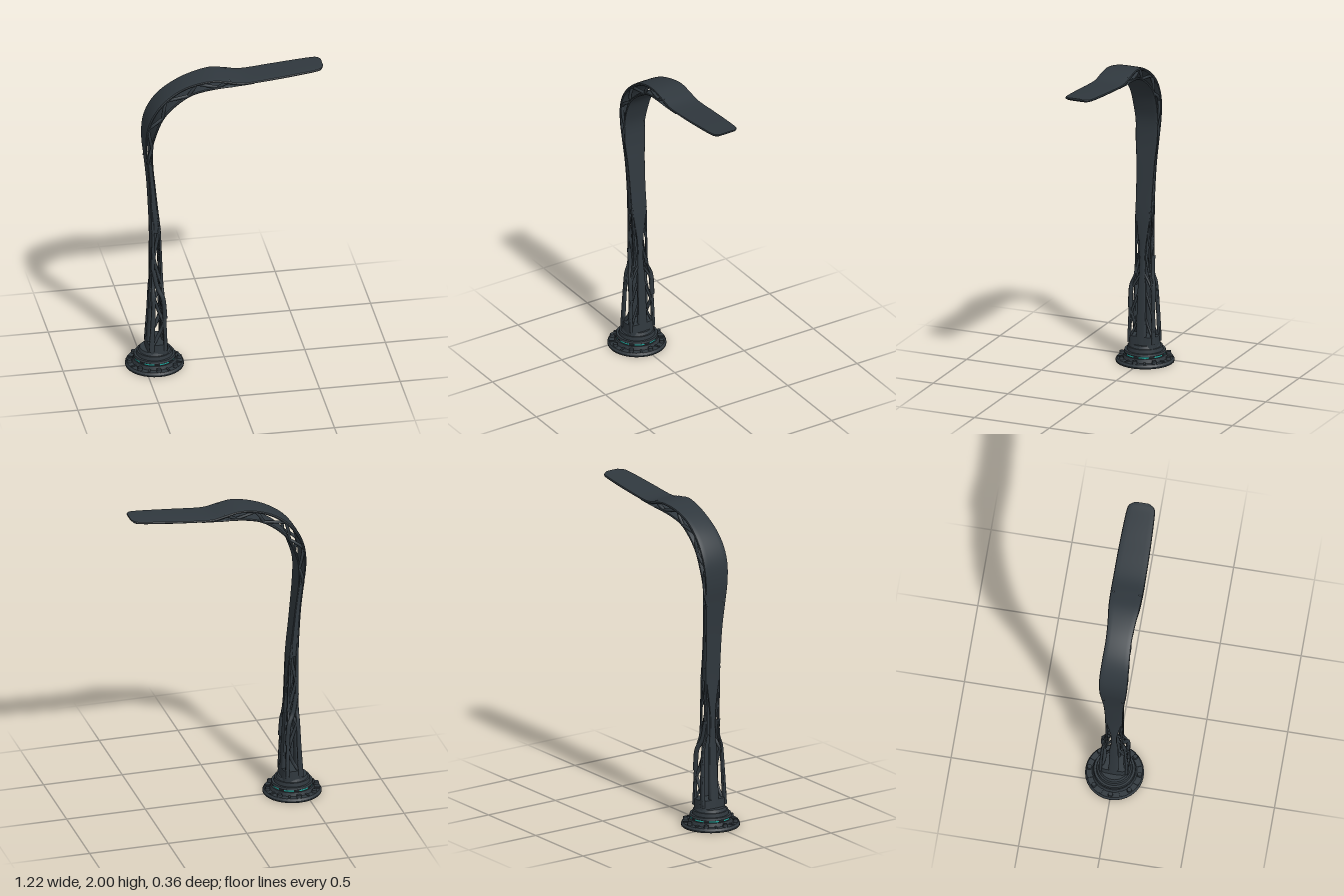
import * as THREE from 'three';
import { toCreasedNormals } from 'three/addons/utils/BufferGeometryUtils.js';

const metal = new THREE.MeshStandardMaterial({ color: 0x30383e });
metal.name = 'dark slate metal';
const black = new THREE.MeshStandardMaterial({ color: 0x1d2327 });
black.name = 'black panel';
const teal = new THREE.MeshStandardMaterial({ color: 0x1fa79c });
teal.name = 'teal light';

// Stations along the lamp: outer x, y, inner x, y, half width
const stations = [
  [-.49, .1, -.355, .1, .092], [-.483, .2, -.361, .2, .09], [-.473, .35, -.368, .35, .085],
  [-.467, .5, -.377, .5, .075], [-.465, .58, -.382, .58, .053], [-.463, .75, -.39, .75, .052],
  [-.462, .93, -.399, .93, .054], [-.468, 1.1, -.418, 1.1, .056], [-.477, 1.27, -.436, 1.27, .062],
  [-.492, 1.43, -.45, 1.4, .073], [-.504, 1.56, -.453, 1.53, .082], [-.495, 1.68, -.43, 1.63, .088],
  [-.455, 1.78, -.385, 1.735, .088], [-.385, 1.865, -.315, 1.81, .084], [-.29, 1.93, -.225, 1.87, .08],
  [-.19, 1.968, -.14, 1.9, .085], [-.08, 1.985, -.05, 1.92, .096], [.02, 1.972, .04, 1.928, .1],
  [.12, 1.955, .12, 1.936, .1], [.3, 1.97, .3, 1.95, .098], [.45, 1.985, .455, 1.964, .093],
  [.55, 1.994, .555, 1.975, .087], [.585, 1.998, .588, 1.98, .075], [.605, 2, .605, 1.99, .045],
];
const curveOf = (ix, iy) => new THREE.CatmullRomCurve3(
  stations.map((s) => new THREE.Vector3(s[ix], s[iy], s[4])), false, 'catmullrom', .5);
const outer = curveOf(0, 1);
const inner = curveOf(2, 3);
const smooth = THREE.MathUtils.smoothstep;

// Point at station t, fraction f from outer to inner side, fraction s of the half width
function at(t, f, s) {
  const u = t / (stations.length - 1);
  const p = outer.getPoint(u).lerp(inner.getPoint(u), f);
  p.z *= s;
  return p;
}

// Rounded-rectangle loft from station t0 to t1; span(t) gives [f0, f1, s0, s1]
function band(t0, t1, span) {
  const rows = Math.ceil((t1 - t0) * 5), n = 16;
  const pos = [], index = [];
  for (let j = 0; j <= rows; j++) {
    const t = t0 + (t1 - t0) * j / rows;
    const [f0, f1, s0, s1] = span(t);
    for (let k = 0; k < n; k++) {
      const a = (k / n) * Math.PI * 2;
      const c = Math.sign(Math.cos(a)) * Math.abs(Math.cos(a)) ** .5;
      const d = Math.sign(Math.sin(a)) * Math.abs(Math.sin(a)) ** .5;
      pos.push(...at(t, (f0 + f1) / 2 + c * (f1 - f0) / 2, (s0 + s1) / 2 + d * (s1 - s0) / 2));
    }
  }
  for (let j = 0; j < rows; j++) for (let k = 0; k < n; k++) {
    const a = j * n + k, b = j * n + (k + 1) % n;
    index.push(a, a + n, b, b, a + n, b + n);
  }
  const end = rows * n;
  for (let k = 1; k < n - 1; k++) index.push(0, k, k + 1, end, end + k + 1, end + k);
  const geo = new THREE.BufferGeometry();
  geo.setAttribute('position', new THREE.Float32BufferAttribute(pos, 3));
  geo.setIndex(index);
  return toCreasedNormals(geo, .7);
}

export function createModel() {
  const model = new THREE.Group();
  const add = (name, geo, mat = metal, parent = model) => {
    const mesh = new THREE.Mesh(geo, mat);
    mesh.name = name;
    parent.add(mesh);
    return mesh;
  };

  // Stepped round base: lower radius, upper radius, bottom, top
  const base = new THREE.Group();
  base.name = 'base';
  base.position.x = -.433;
  model.add(base);
  const disc = (name, r0, r1, y0, y1, mat) => {
    add(name, new THREE.CylinderGeometry(r1, r0, y1 - y0, 32), mat, base).position.y = (y0 + y1) / 2;
  };
  disc('footPlate', .18, .18, 0, .012, black);
  disc('flange', .18, .172, .012, .024);
  disc('lowerCollar', .138, .13, .024, .046);
  disc('lightGroove', .122, .122, .046, .062, black);
  disc('upperCollar', .13, .126, .062, .076);
  disc('stepRing', .112, .108, .076, .1);
  disc('neckRing', .098, .09, .1, .118);
  for (let i = 0; i < 8; i++) {
    const a = i * Math.PI / 4;
    const bolt = add('bolt', new THREE.CylinderGeometry(.015, .017, .018, 6), metal, base);
    bolt.position.set(Math.cos(a) * .155, .033, Math.sin(a) * .155);
    const rib = add('flangeRib', new THREE.BoxGeometry(.034, .008, .012), metal, base);
    rib.position.set(Math.cos(a + .39) * .153, .026, Math.sin(a + .39) * .153);
    rib.rotation.y = -a - .39;
    const light = new THREE.CylinderGeometry(.125, .125, .008, 6, 1, true, a + .1, .5);
    add('lightStrip', light, teal, base).position.y = .054;
  }

  // Foot and solid middle of the column
  add('columnFoot', band(0, .75, () => [0, 1, -1, 1]));
  add('columnMiddle', band(6, 9.1, () => [.02, .98, -.97, .97]));

  // Outer spine, narrow below and full width above, thickening into the head
  const stripWidth = (t) => .34 + .66 * smooth(t, 4.5, 6.6);
  add('outerSpineAndHead', band(0, 23, (t) => {
    const w = stripWidth(t);
    return [0, .28 + .72 * smooth(t, 16, 18), -w, w];
  }));
  add('innerRail', band(0, 18.3, (t) => {
    const w = stripWidth(t) * (1 - .08 * smooth(t, 9, 10) * (1 - smooth(t, 14, 16)));
    return [.74, 1, -w, w];
  }));

  // Thin light panel under the head
  add('lampPanel', band(18.5, 22, () => [.9, 1.12, -.8, .8]), black);

  // Strut helper: tube through [t, f, s] points
  const strut = (name, pts, radius) => add(name, new THREE.TubeGeometry(
    new THREE.CatmullRomCurve3(pts.map((p) => at(...p))), 20, radius, 7));

  for (const side of [-1, 1]) {
    const post = (f0, f1) => band(.3, 6.5, () => (side > 0 ? [f0, f1, .78, 1] : [f0, f1, -1, -.78]));
    add('backPost', post(.04, .3));
    add('frontPost', post(.74, .94));

    // Twisting lattice inside the lower column
    for (let i = 0; i < 5; i++) {
      const t = .6 + i * 1.1;
      const f = i % 2 ? [.85, .2] : [.2, .85];
      strut('columnLattice', [[t, f[0], side * .85], [t + .6, .52, side * .7], [t + 1.2, f[1], side * .85]], .011);
      strut('innerLattice', [[t, .85, side * .85], [t + .6, .8, side * .5], [t + 1.1, .8, side * .2]], .008);
    }
    // Sweeping shoulder across the side of the column
    strut('shoulderSweep', [[2, .88, side * .9], [2.9, .8, side * .95], [3.7, .5, side * .92], [4.6, .2, side * .88]], .015);

    // Zigzag lattice through the bend
    for (let i = 0; i < 8; i++) {
      const t = 9 + i;
      const f = i % 2 ? [.85, .15] : [.15, .85];
      strut('bendLattice', [[t, f[0], side * .8], [t + .5, .5, side * .88], [t + 1, f[1], side * .8]], .01);
    }
  }
  return model;
}
